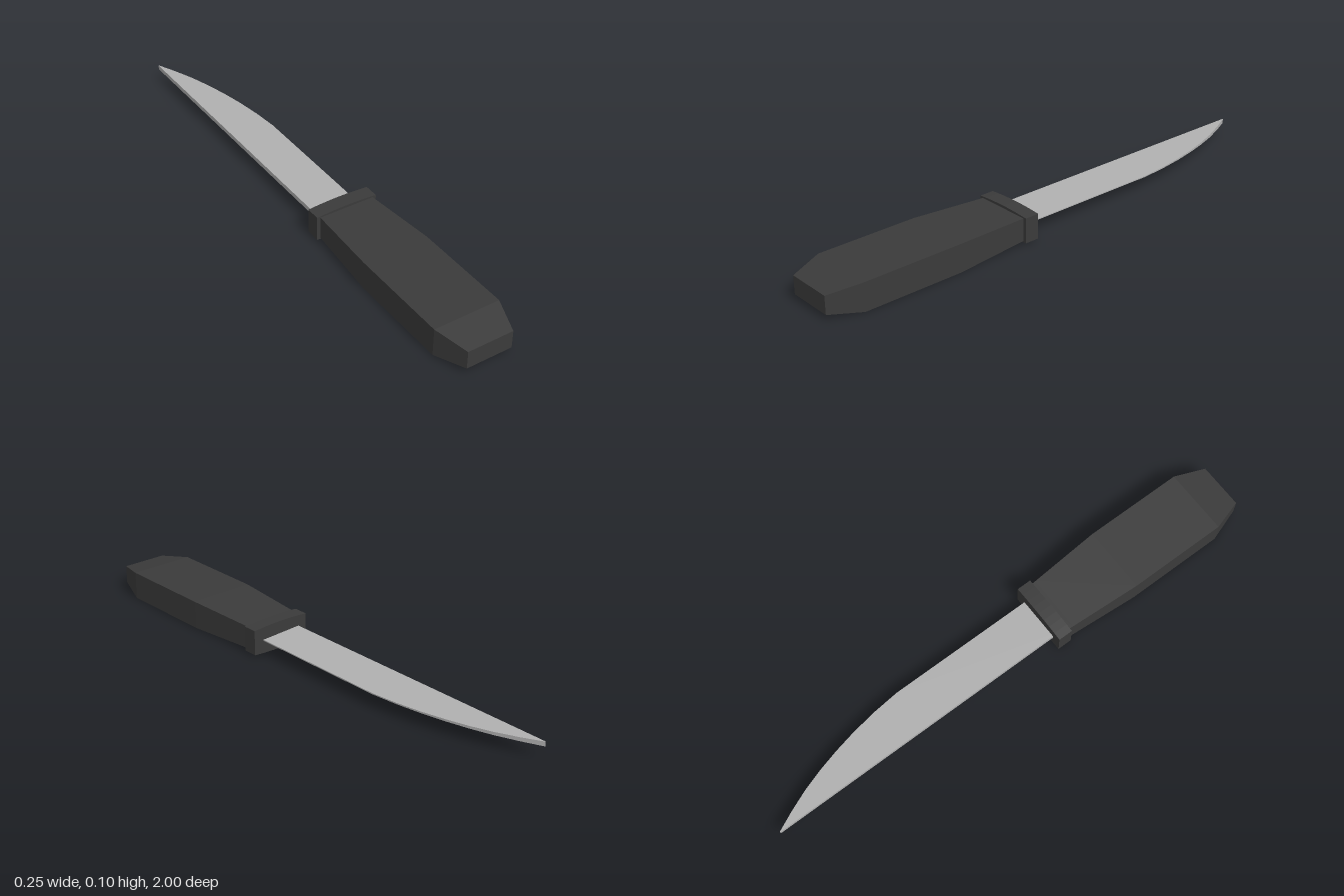
import * as THREE from 'three';

const MID = 0.053; // height of the centre plane

// Flat-faced solid through four-cornered rings, ordered along +z,
// each ring counter-clockwise as seen from +z.
function loft(rings) {
  const pos = [];
  const quad = (a, b, c, d) => [a, b, c, a, c, d].forEach((p) => pos.push(...p));
  for (let i = 0; i < rings.length - 1; i++) {
    const r = rings[i], s = rings[i + 1];
    for (let j = 0; j < 4; j++) {
      const k = (j + 1) % 4;
      quad(r[j], r[k], s[k], s[j]);
    }
  }
  const first = rings[0], last = rings[rings.length - 1];
  quad(first[3], first[2], first[1], first[0]);
  quad(...last);
  const geometry = new THREE.BufferGeometry();
  geometry.setAttribute('position', new THREE.Float32BufferAttribute(pos, 3));
  geometry.computeVertexNormals();
  return geometry;
}

export function createModel() {
  const group = new THREE.Group();
  const black = new THREE.MeshStandardMaterial({ name: 'black grip', color: 0x3b3b3b });
  const steel = new THREE.MeshStandardMaterial({ name: 'grey steel', color: 0xb0b0b0 });
  const add = (name, geometry, material) => {
    const mesh = new THREE.Mesh(geometry, material);
    mesh.name = name;
    mesh.position.y = MID;
    group.add(mesh);
    return mesh;
  };

  // Handle: z, half width, half height
  const handleSections = [
    [0.18, 0.105, 0.042], [0.23, 0.108, 0.043], [0.5, 0.126, 0.0525],
    [0.88, 0.126, 0.0525], [1, 0.087, 0.034],
  ];
  add('handle', loft(handleSections.map(([z, w, h]) =>
    [[-w, -h, z], [w, -h, z], [w, h, z], [-w, h, z]])), black);

  // Guard: plate with slightly bowed top and bottom
  const outline = new THREE.Shape();
  outline.moveTo(-0.12, -0.047);
  outline.quadraticCurveTo(0, -0.058, 0.12, -0.047);
  outline.lineTo(0.12, 0.047);
  outline.quadraticCurveTo(0, 0.058, -0.12, 0.047);
  outline.closePath();
  const guard = add('guard', new THREE.ExtrudeGeometry(outline,
    { depth: 0.055, bevelEnabled: false, curveSegments: 8 }), black);
  guard.position.z = 0.16;

  // Blade: straight thick spine, curved edge, thickness falling from spine to edge
  const spine = -0.085, edge = 0.08;
  const halfThickness = (x) => THREE.MathUtils.mapLinear(x, spine, edge, 0.0085, 0.002);
  const edgeLine = [
    [-1, -0.083], [-0.93, -0.049], [-0.85, -0.015], [-0.77, 0.012], [-0.69, 0.034],
    [-0.6, 0.054], [-0.5, 0.07], [-0.4, edge], [0.19, edge],
  ];
  add('blade', loft(edgeLine.map(([z, x]) => {
    const s = halfThickness(spine), e = halfThickness(x);
    return [[spine, -s, z], [x, -e, z], [x, e, z], [spine, s, z]];
  })), steel);

  return group;
}
